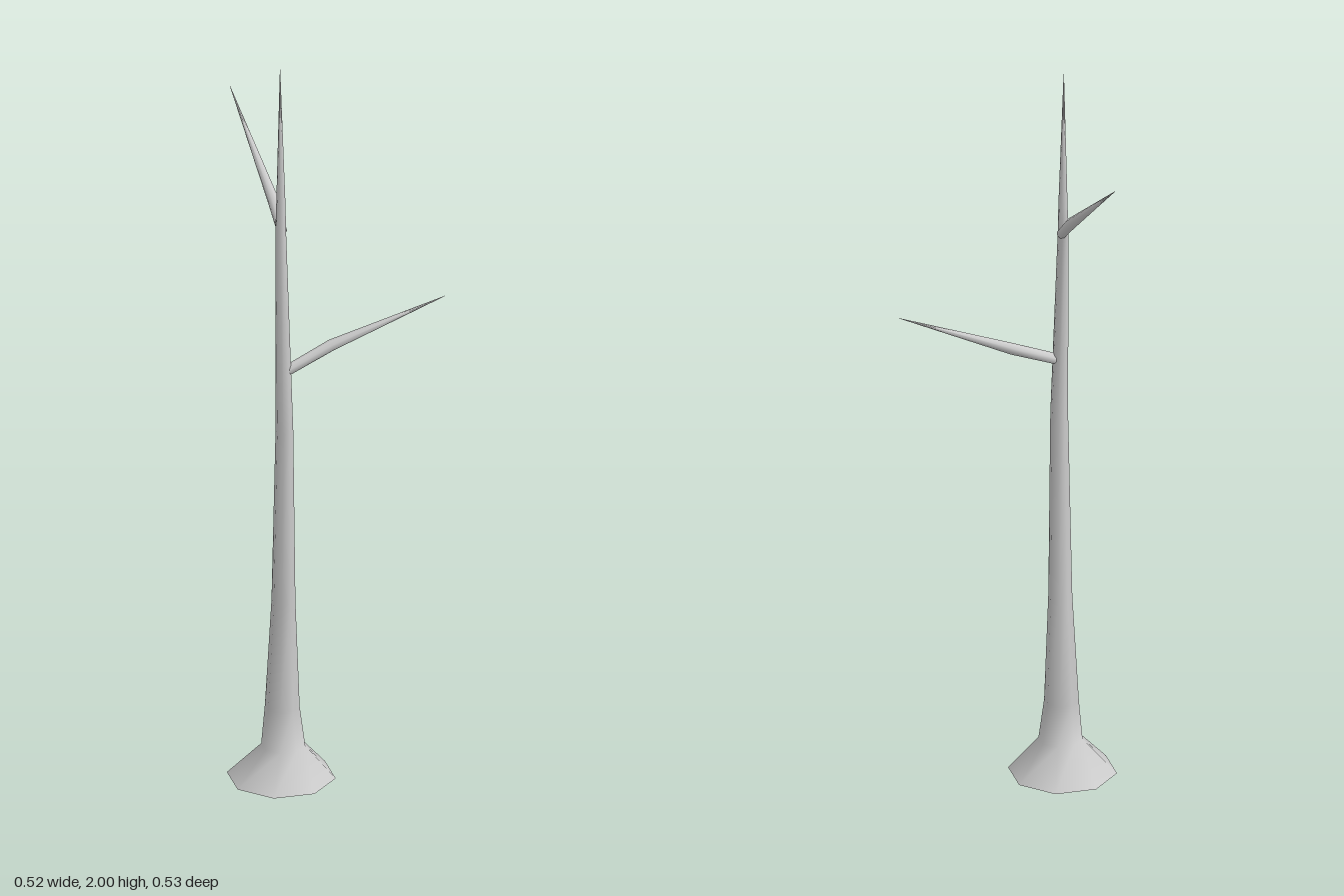
import * as THREE from 'three';

const SIDES = 8;
const material = new THREE.MeshStandardMaterial({ color: 0xcccccc, side: THREE.DoubleSide });

// Skin of eight-sided rings [x, y, z, radius]; each ring lies flat across the given axis
function limb(name, rings, axis) {
  const turn = new THREE.Quaternion().setFromUnitVectors(new THREE.Vector3(0, 1, 0), axis.clone().normalize());
  const positions = [], index = [];
  for (const [x, y, z, r] of rings) {
    for (let i = 0; i < SIDES; i++) {
      const a = (i / SIDES) * Math.PI * 2;
      const p = new THREE.Vector3(Math.sin(a) * r, 0, Math.cos(a) * r).applyQuaternion(turn);
      positions.push(x + p.x, y + p.y, z + p.z);
    }
  }
  for (let j = 0; j < rings.length - 1; j++) {
    for (let i = 0; i < SIDES; i++) {
      const a = j * SIDES + i, b = j * SIDES + (i + 1) % SIDES;
      index.push(a, b, b + SIDES);
      if (rings[j + 1][3] > 0.0015) index.push(a, b + SIDES, a + SIDES);
      else index.push(a, b + SIDES, a + SIDES);
    }
  }
  const geometry = new THREE.BufferGeometry();
  geometry.setAttribute('position', new THREE.Float32BufferAttribute(positions, 3));
  geometry.setIndex(index);
  geometry.computeVertexNormals();
  const mesh = new THREE.Mesh(geometry, material);
  mesh.name = name;
  return mesh;
}

export function createModel() {
  const tree = new THREE.Group();
  tree.name = 'bareTree';

  // Trunk: flared open foot, gentle bend, pointed top
  tree.add(limb('trunk', [
    [-0.123, 0, 0.066, 0.141],
    [-0.122, 0.09, 0.073, 0.057],
    [-0.122, 0.2, 0.069, 0.045],
    [-0.122, 0.5, 0.074, 0.031],
    [-0.144, 1.0, 0.107, 0.023],
    [-0.121, 1.54, 0.061, 0.014],
    [-0.119, 1.62, 0.059, 0.012],
    [-0.117, 2.0, 0.053, 0.0005],
  ], new THREE.Vector3(0, 1, 0)));

  // Lower branch, bending forward
  tree.add(limb('lowerBranch', [
    [-0.125, 1.165, 0.098, 0.014],
    [-0.01, 1.215, 0.13, 0.015],
    [0.254, 1.33, 0.265, 0.0005],
  ], new THREE.Vector3(0.38, 0.165, 0.167)));

  // Upper branch, reaching backward
  tree.add(limb('upperBranch', [
    [-0.115, 1.54, 0.06, 0.013],
    [-0.095, 1.6, -0.005, 0.015],
    [-0.038, 1.81, -0.263, 0.0005],
  ], new THREE.Vector3(0.077, 0.27, -0.323)));

  return tree;
}
